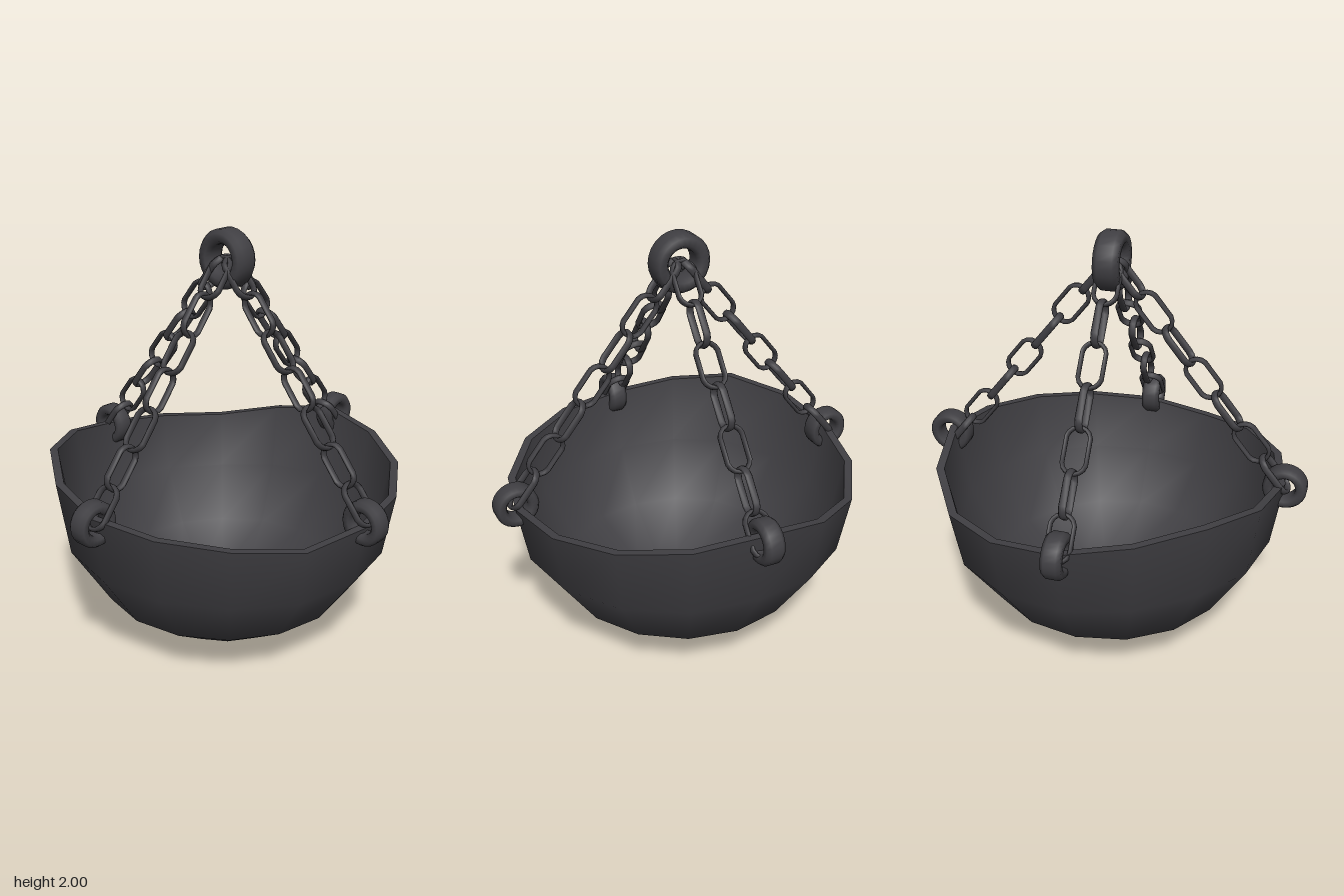
import * as THREE from 'three';
import { mergeVertices } from 'three/addons/utils/BufferGeometryUtils.js';

const iron = new THREE.MeshStandardMaterial({ color: 0x403f43 });
iron.name = 'dark iron';

function add(parent, name, geometry) {
  const mesh = new THREE.Mesh(geometry, iron);
  mesh.name = name;
  parent.add(mesh);
  return mesh;
}

// Smooth the shading across seams by sharing vertices
function weld(geometry) {
  geometry.deleteAttribute('normal');
  geometry.deleteAttribute('uv');
  const g = mergeVertices(geometry, 1e-5);
  g.computeVertexNormals();
  return g;
}

// Uneven rim heights, every 22.5 degrees from +x towards +z
const RIM = [0.93, 0.895, 0.86, 0.83, 0.81, 0.79, 0.83, 0.855,
  0.87, 0.91, 0.95, 0.92, 0.865, 0.83, 0.81, 0.87];

// Round skin through [radius, height, share of the rim's unevenness]
function bowlSkin(profile) {
  const n = RIM.length, pos = [], idx = [];
  for (const [r, y, share] of profile) {
    for (let j = 0; j < n; j++) {
      const a = (j / n) * Math.PI * 2;
      pos.push(r * Math.cos(a), y + share * (RIM[j] - 0.855), r * Math.sin(a) - 0.01);
    }
  }
  for (let i = 0; i < profile.length - 1; i++) {
    for (let j = 0; j < n; j++) {
      const a = i * n + j, b = i * n + (j + 1) % n;
      idx.push(a, a + n, b, b, a + n, b + n);
    }
  }
  const g = new THREE.BufferGeometry();
  g.setAttribute('position', new THREE.Float32BufferAttribute(pos, 3));
  g.setIndex(idx);
  return weld(g);
}

// Thick ring lying in the xy plane, with a bevelled section
function ringGeometry(outer, inner, width) {
  const mid = (outer + inner) / 2, hr = (outer - inner) / 2, hw = width / 2;
  const section = [[1, -0.6], [1, 0.6], [0.5, 1], [-0.5, 1], [-1, 0.6],
    [-1, -0.6], [-0.5, -1], [0.5, -1], [1, -0.6]];
  const pts = section.map(([u, v]) => new THREE.Vector2(mid + u * hr, v * hw));
  return weld(new THREE.LatheGeometry(pts, 24)).rotateX(Math.PI / 2);
}

// Oval link along y: a flat-wire torus whose halves are pulled apart
function linkGeometry() {
  const g = new THREE.TorusGeometry(0.054, 0.01, 8, 16);
  g.rotateZ(Math.PI / 16);
  g.scale(1, 1, 1.75);
  const p = g.attributes.position;
  for (let i = 0; i < p.count; i++) p.setY(i, p.getY(i) + Math.sign(p.getY(i)) * 0.048);
  return weld(g);
}

export function createModel() {
  const model = new THREE.Group();
  model.name = 'hangingBowl';

  // Bowl: outside, rim and inside as separate skins so the rim stays sharp
  const bowl = new THREE.Group();
  bowl.name = 'bowl';
  model.add(bowl);
  add(bowl, 'bowlOutside', bowlSkin([[0, 0, 0], [0.325, 0.07, 0], [0.6, 0.255, 0],
    [0.785, 0.535, 0.35], [0.837, 0.855, 1]]));
  add(bowl, 'bowlRim', bowlSkin([[0.837, 0.855, 1], [0.799, 0.855, 1]]));
  add(bowl, 'bowlInside', bowlSkin([[0.799, 0.855, 1], [0.745, 0.545, 0.35],
    [0.57, 0.285, 0], [0.305, 0.11, 0], [0, 0.045, 0]]));

  // Hanging ring at the top
  const top = add(model, 'topRing', ringGeometry(0.135, 0.068, 0.115));
  top.position.y = 1.865;
  top.rotation.y = Math.PI / 2;

  // Four chains, each with a ring through the rim
  const rimRing = ringGeometry(0.103, 0.05, 0.09);
  const link = linkGeometry();
  const sides = [
    ['left', 0.83, 0.905], ['back', 0.828, 0.855],
    ['right', 0.835, 0.855], ['front', 0.823, 0.838],
  ];
  sides.forEach(([side, x, y], k) => {
    const chain = new THREE.Group();
    chain.name = side + 'Chain';
    chain.rotation.y = k * Math.PI / 2;
    model.add(chain);
    add(chain, side + 'RimRing', rimRing).position.set(x, y, 0);
    for (let i = 0; i < 7; i++) {
      const m = add(chain, side + 'Link' + (i + 1), link);
      m.position.set(0.075 + 0.118 * i, 1.79 - 0.1465 * i, 0);
      m.rotation.set(0, i % 2 ? 0 : Math.PI / 2, 0.677, 'ZYX');
    }
  });

  return model;
}
